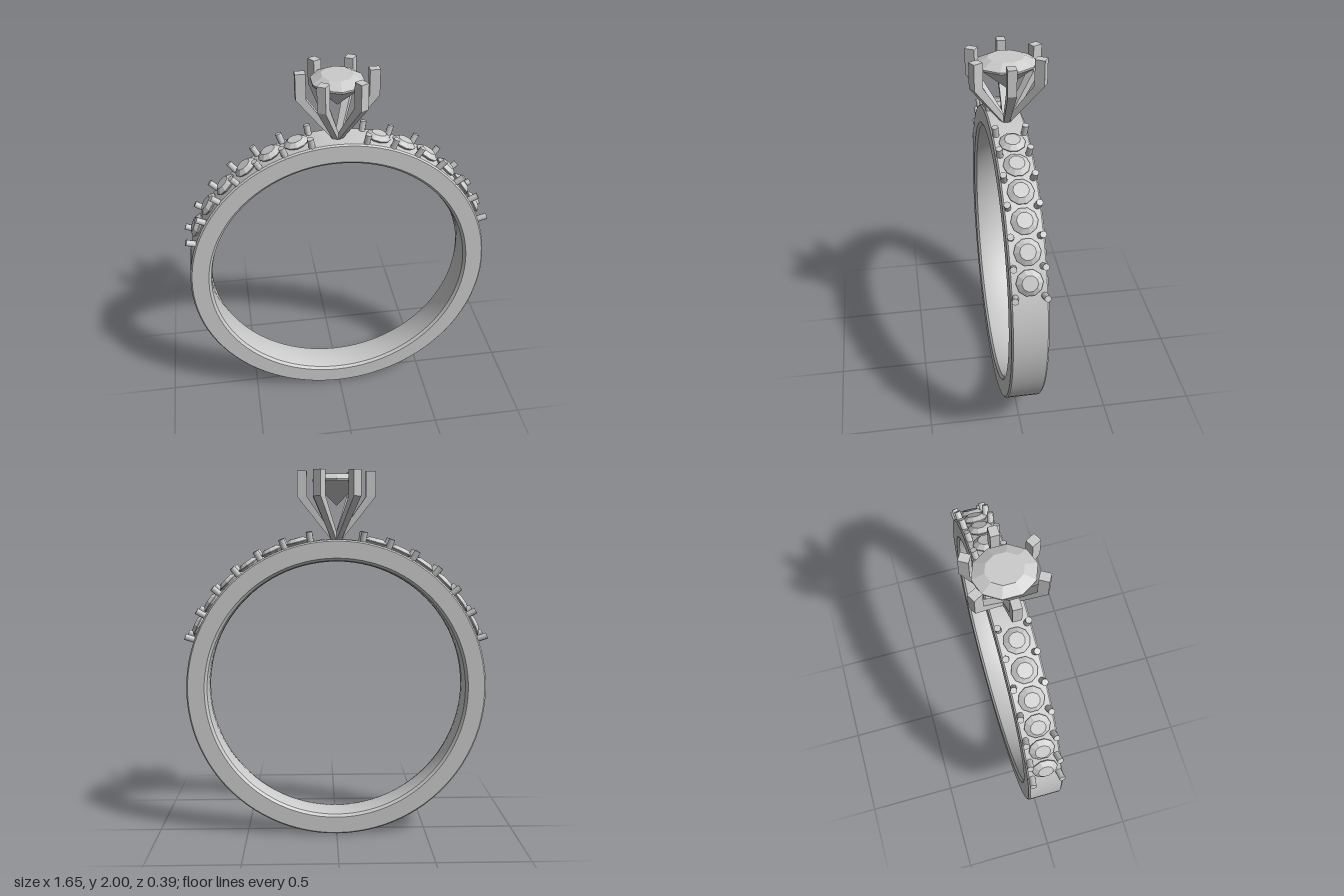
import * as THREE from 'three';
import { toCreasedNormals } from 'three/addons/utils/BufferGeometryUtils.js';

const CENTER_Y = 0.82; // middle of the band
const metal = new THREE.MeshStandardMaterial({ color: 0xcccccc });
const facets = new THREE.MeshStandardMaterial({ color: 0xcccccc, flatShading: true });

function add(parent, name, geometry, material) {
  const mesh = new THREE.Mesh(geometry, material);
  mesh.name = name;
  parent.add(mesh);
  return mesh;
}

// Brilliant cut stone: girdle at y = 0, radius 1
function gemGeometry(table, crown, depth) {
  const profile = [[0, -depth], [1, -0.03], [1, 0.03], [table, crown], [0, crown]];
  return new THREE.LatheGeometry(profile.map(([x, y]) => new THREE.Vector2(x, y)), 10);
}

// Band with softened edges and a rounded inner face
function bandGeometry() {
  const half = [[0.70, 0], [0.702, 0.05], [0.708, 0.08], [0.722, 0.093], [0.812, 0.093], [0.82, 0.085]];
  const lower = half.map(([r, z]) => new THREE.Vector2(r, -z));
  const upper = half.map(([r, z]) => new THREE.Vector2(r, z)).reverse();
  const geometry = new THREE.LatheGeometry([...lower, ...upper], 96);
  geometry.rotateX(Math.PI / 2);
  return toCreasedNormals(geometry, 0.5);
}

// Claw that leans outward from the band, then stands upright: [x, y, width, depth] per row
function clawGeometry() {
  const rows = [[0.012, 1.635, 0.03, 0.03], [0.184, 1.865, 0.052, 0.045], [0.184, 2.0, 0.052, 0.045]];
  const geometry = new THREE.BoxGeometry(1, 2, 1, 1, 2, 1);
  const p = geometry.attributes.position;
  for (let i = 0; i < p.count; i++) {
    const [x, y, w, d] = rows[Math.round(p.getY(i)) + 1];
    p.setXYZ(i, x + p.getX(i) * w, y, p.getZ(i) * d);
  }
  return geometry;
}

export function createModel() {
  const ring = new THREE.Group();
  ring.name = 'ring';
  add(ring, 'band', bandGeometry(), metal).position.y = CENTER_Y;

  // Six-claw head with the large stone
  const head = new THREE.Group();
  head.name = 'head';
  ring.add(head);
  const claw = clawGeometry();
  for (let i = 0; i < 6; i++) {
    add(head, 'claw', claw, facets).rotation.y = (i * Math.PI) / 3;
  }
  const mainStone = add(head, 'mainStone', gemGeometry(0.6, 0.22, 0.88), facets);
  mainStone.position.y = 1.95;
  mainStone.scale.set(0.135, 0.15, 0.155);

  // Rows of small stones on both shoulders
  const smallGem = gemGeometry(0.6, 0.32, 0.8);
  const pin = new THREE.CylinderGeometry(0.017, 0.017, 0.085, 8);
  for (const side of [1, -1]) {
    const row = new THREE.Group();
    row.name = side > 0 ? 'leftShoulder' : 'rightShoulder';
    row.position.y = CENTER_Y;
    ring.add(row);

    // Holder pointing outward from the band at a given angle from the top
    const spoke = (degrees) => {
      const holder = new THREE.Group();
      holder.name = 'setting';
      holder.rotation.z = -side * THREE.MathUtils.degToRad(degrees);
      row.add(holder);
      return holder;
    };
    for (let i = 0; i < 7; i++) {
      const holder = spoke(9.8 + i * 10);
      for (const z of [-1, 1]) {
        const mesh = add(holder, 'pin', pin, metal);
        mesh.position.set(0, 0.83, z * 0.072);
        mesh.rotation.x = z * 0.12;
      }
    }
    for (let i = 0; i < 6; i++) {
      const stone = add(spoke(14.8 + i * 10), 'smallStone', smallGem, facets);
      stone.position.y = 0.832;
      stone.scale.setScalar(0.066);
    }
  }
  return ring;
}
